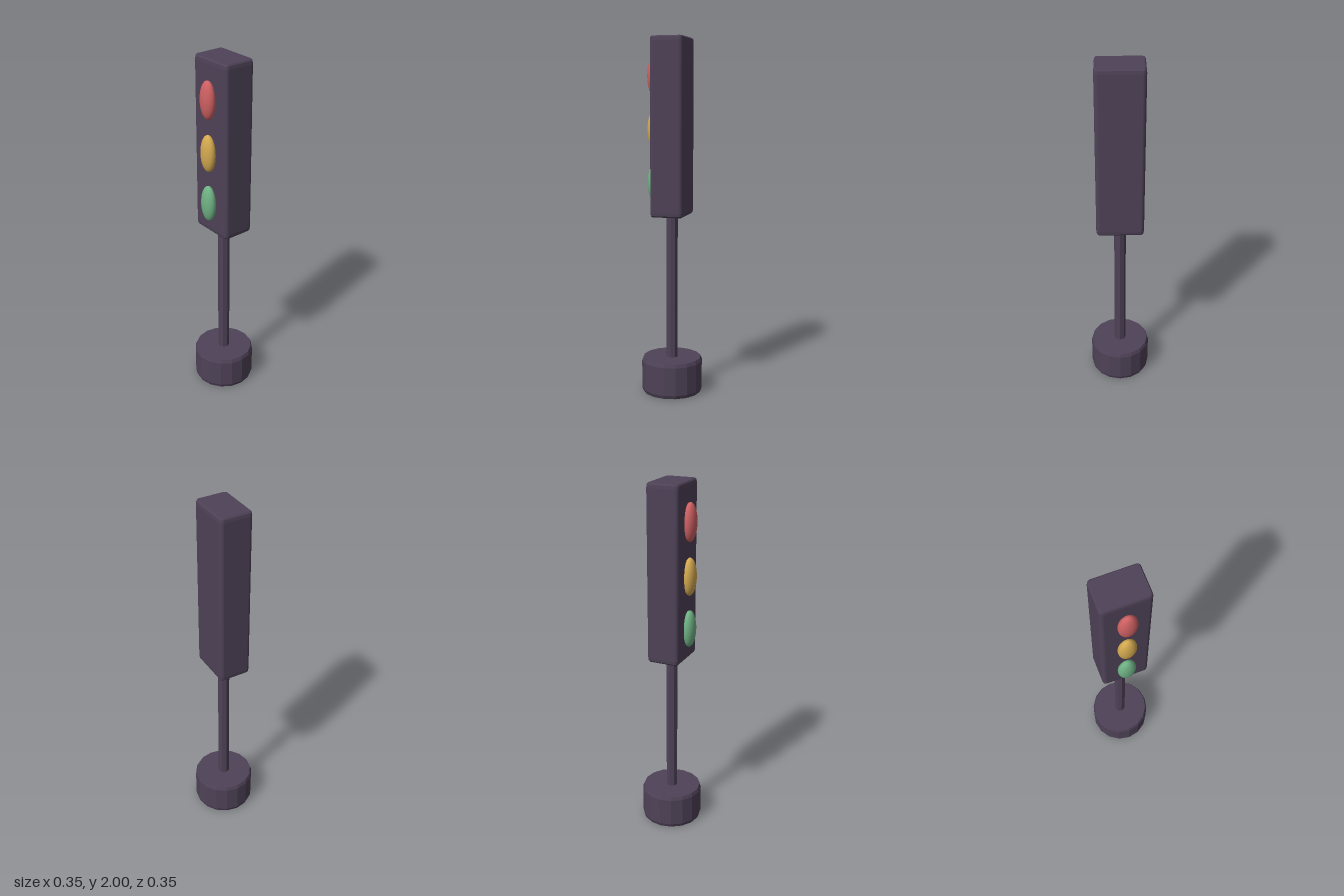
import * as THREE from 'three';

const body = new THREE.MeshStandardMaterial({ name: 'darkPlum', color: 0x4e4257 });
const red = new THREE.MeshStandardMaterial({ name: 'signalRed', color: 0xce6062 });
const yellow = new THREE.MeshStandardMaterial({ name: 'signalYellow', color: 0xd3a950 });
const green = new THREE.MeshStandardMaterial({ name: 'signalGreen', color: 0x6fb184 });

// Rounded rectangle centred on the origin
function roundedRect(w, h, r) {
  const s = new THREE.Shape();
  const x = w / 2, y = h / 2;
  s.absarc(x - r, y - r, r, 0, Math.PI / 2);
  s.absarc(-x + r, y - r, r, Math.PI / 2, Math.PI);
  s.absarc(-x + r, -y + r, r, Math.PI, Math.PI * 1.5);
  s.absarc(x - r, -y + r, r, Math.PI * 1.5, Math.PI * 2);
  s.closePath();
  return s;
}

// Faceted lathe part from [radius, height] points
function faceted(profile, sides) {
  const points = profile.map(([r, y]) => new THREE.Vector2(r, y));
  const geo = new THREE.LatheGeometry(points, sides).toNonIndexed();
  geo.computeVertexNormals();
  return geo;
}

export function createModel() {
  const group = new THREE.Group();
  const add = (name, geo, mat) => {
    const mesh = new THREE.Mesh(geo, mat);
    mesh.name = name;
    group.add(mesh);
    return mesh;
  };

  // Heavy round foot with chamfered rims
  add('base', faceted([[0, 0], [0.165, 0], [0.173, 0.02], [0.173, 0.18], [0.165, 0.2], [0, 0.2]], 16), body);

  // Pole from the foot into the housing
  add('pole', faceted([[0.033, 0.19], [0.033, 1.04]], 8), body);

  // Housing: rounded upright box with bevelled ends
  const bevel = 0.008, bevelHeight = 0.025, height = 0.98;
  const housing = new THREE.ExtrudeGeometry(
    roundedRect(0.264 - 2 * bevel, 0.184 - 2 * bevel, 0.014),
    { depth: height - 2 * bevelHeight, bevelThickness: bevelHeight, bevelSize: bevel, bevelSegments: 2, curveSegments: 4 }
  );
  housing.rotateX(-Math.PI / 2);
  housing.translate(0, 1.02 + bevelHeight, 0);
  add('housing', housing, body);

  // Three domed lenses on the front
  const lenses = [['redLens', 1.79, red], ['yellowLens', 1.495, yellow], ['greenLens', 1.2, green]];
  for (const [name, y, mat] of lenses) {
    const lens = add(name, new THREE.SphereGeometry(1, 32, 20), mat);
    lens.scale.set(0.051, 0.105, 0.035);
    lens.position.set(0, y, 0.105);
  }

  return group;
}
